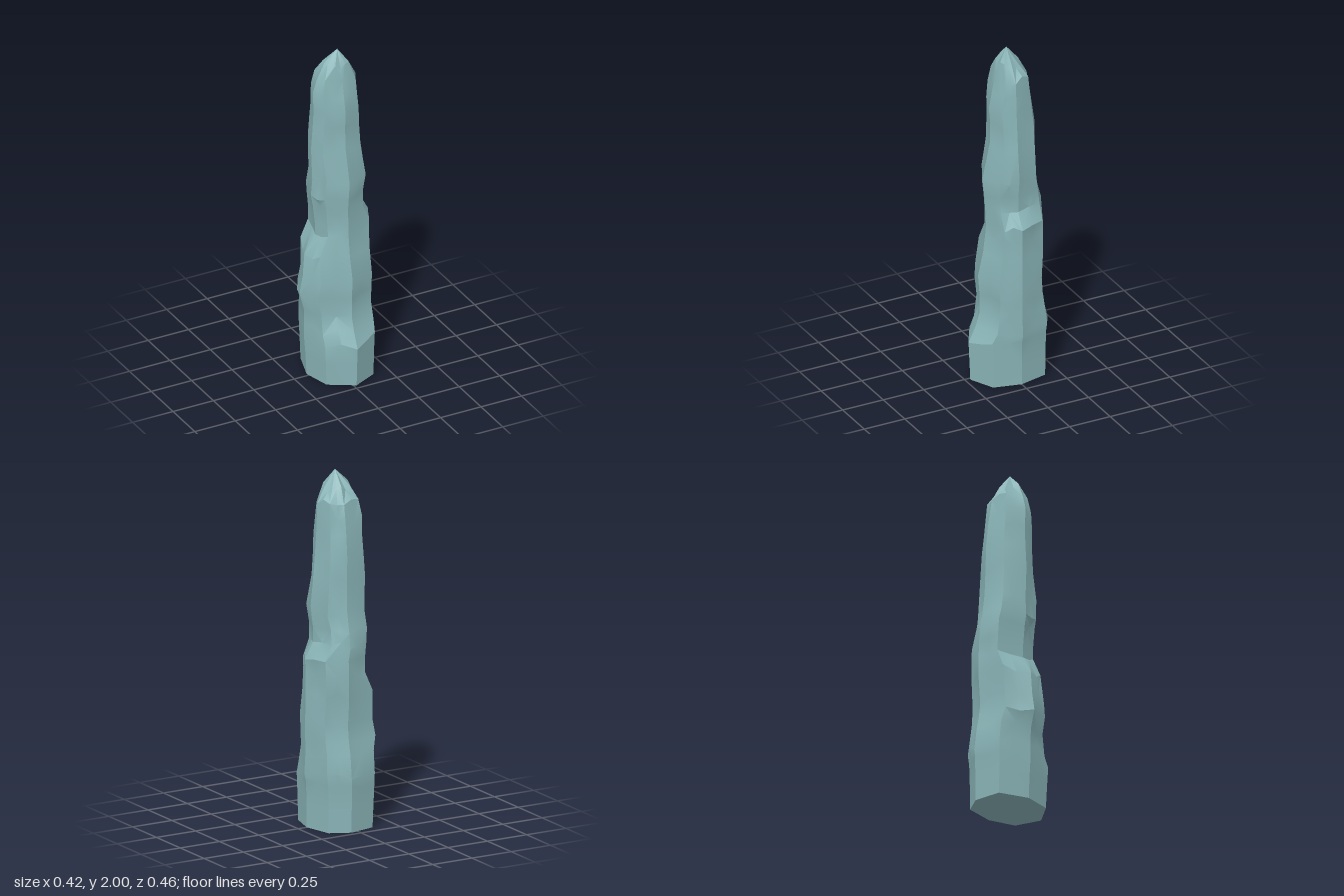
import * as THREE from 'three';
import { toCreasedNormals } from 'three/addons/utils/BufferGeometryUtils.js';

// Rough stone column: [y, left x, right x, front z, back z]
const RINGS = [
  [0, 0.165, 0.195, 0.222, 0.22],
  [0.13, 0.172, 0.195, 0.228, 0.222],
  [0.25, 0.18, 0.2, 0.233, 0.224],
  [0.32, 0.18, 0.21, 0.19, 0.228],
  [0.42, 0.182, 0.202, 0.165, 0.212],
  [0.51, 0.21, 0.205, 0.165, 0.195],
  [0.61, 0.19, 0.205, 0.175, 0.186],
  [0.76, 0.18, 0.202, 0.143, 0.198],
  [0.88, 0.112, 0.202, 0.13, 0.198],
  [0.95, 0.115, 0.206, 0.126, 0.194],
  [1.05, 0.128, 0.155, 0.13, 0.195],
  [1.12, 0.14, 0.155, 0.135, 0.182],
  [1.23, 0.132, 0.17, 0.146, 0.162],
  [1.41, 0.14, 0.152, 0.1, 0.158],
  [1.54, 0.13, 0.142, 0.098, 0.156],
  [1.65, 0.125, 0.135, 0.105, 0.143],
  [1.74, 0.13, 0.131, 0.088, 0.132],
  [1.83, 0.108, 0.128, 0.07, 0.118],
  [1.91, 0.062, 0.082, 0.056, 0.07],
];

// Cross-section corners [x, z] as fractions of the ring's extents
const CORNERS = [
  [0.08, 1], [0.8, 0.7], [1, 0], [0.8, -0.75],
  [0.22, -1], [-0.68, -0.84], [-1, -0.08], [-0.76, 0.62],
];

function seeded(seed) {
  return () => {
    seed = (seed * 16807) % 2147483647;
    return (seed / 2147483647) * 2 - 1;
  };
}

function columnGeometry() {
  const rand = seeded(41);
  const n = CORNERS.length * 2;
  const pos = [];
  const index = [];
  RINGS.forEach(([y, left, right, front, back], r) => {
    for (let j = 0; j < n; j++) {
      // every second point is the middle of a facet, slightly dented
      const a = CORNERS[j >> 1];
      const b = CORNERS[((j + 1) >> 1) % CORNERS.length];
      const mid = j % 2 === 1;
      const px = (a[0] + b[0]) / 2;
      const pz = (a[1] + b[1]) / 2;
      // chipped patch low on the front is rougher
      const chipped = r > 2 && r < 7 && (j < 2 || j > 13);
      const dent = mid && r > 2 ? 1 + rand() * (chipped ? 0.07 : 0.04) : 1;
      const dy = r > 1 ? rand() * 0.02 : 0;
      pos.push(px * (px > 0 ? right : left) * dent, y + dy, pz * (pz > 0 ? front : back) * dent);
    }
  });
  for (let r = 0; r < RINGS.length - 1; r++) {
    for (let j = 0; j < n; j++) {
      const a = r * n + j, b = r * n + (j + 1) % n;
      const c = b + n, d = a + n;
      if ((r + j) % 2) index.push(a, b, c, a, c, d);
      else index.push(a, b, d, b, c, d);
    }
  }
  // pointed tip and flat underside
  const tip = pos.length / 3;
  pos.push(0.015, 2, 0, 0, 0, 0);
  const last = (RINGS.length - 1) * n;
  for (let j = 0; j < n; j++) {
    const k = (j + 1) % n;
    index.push(last + j, last + k, tip, k, j, tip + 1);
  }
  const geo = new THREE.BufferGeometry();
  geo.setAttribute('position', new THREE.Float32BufferAttribute(pos, 3));
  geo.setIndex(index);
  return toCreasedNormals(geo, 0.42);
}

export function createModel() {
  const group = new THREE.Group();
  group.name = 'stonePillar';
  const stone = new THREE.MeshStandardMaterial({ color: 0x8ab5b8 });
  stone.name = 'paleTealStone';
  const column = new THREE.Mesh(columnGeometry(), stone);
  column.name = 'rockColumn';
  group.add(column);
  return group;
}
